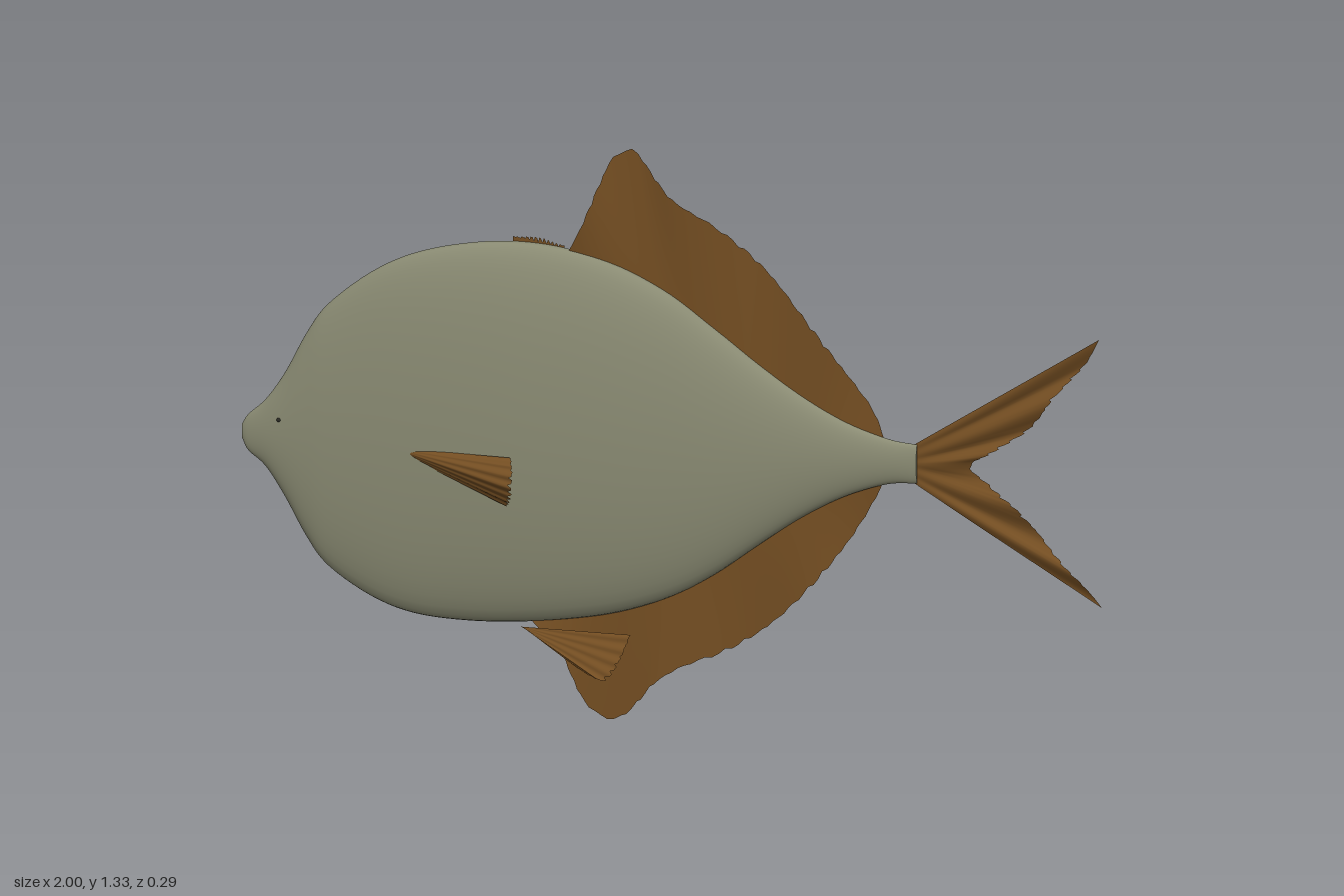
import * as THREE from 'three';

const skin = new THREE.MeshStandardMaterial({ color: 0x8a8b73 });
skin.name = 'olive grey skin';
const finBrown = new THREE.MeshStandardMaterial({ color: 0x744e22, side: THREE.DoubleSide });
finBrown.name = 'brown fin';
const eyeDark = new THREE.MeshStandardMaterial({ color: 0x2a2a24 });
eyeDark.name = 'dark eye';

function grid(points, index) {
  const g = new THREE.BufferGeometry();
  g.setAttribute('position', new THREE.Float32BufferAttribute(points, 3));
  g.setIndex(index);
  g.computeVertexNormals();
  return g;
}

function named(name, geometry, material) {
  const m = new THREE.Mesh(geometry, material);
  m.name = name;
  return m;
}

// Body stations: x, top, bottom, half width
const STATIONS = [
  [-1, 0.645, 0.61, 0.004], [-0.985, 0.668, 0.582, 0.01], [-0.945, 0.705, 0.548, 0.019],
  [-0.9, 0.77, 0.48, 0.027], [-0.85, 0.865, 0.39, 0.035], [-0.8, 0.935, 0.325, 0.042],
  [-0.7, 1.015, 0.26, 0.053], [-0.6, 1.065, 0.226, 0.062], [-0.48, 1.095, 0.216, 0.07],
  [-0.36, 1.106, 0.22, 0.074], [-0.24, 1.095, 0.233, 0.073], [-0.12, 1.06, 0.257, 0.069],
  [0, 1.0, 0.3, 0.062], [0.1, 0.928, 0.357, 0.055], [0.2, 0.852, 0.43, 0.046],
  [0.3, 0.785, 0.5, 0.036], [0.4, 0.73, 0.555, 0.026], [0.5, 0.696, 0.59, 0.017],
  [0.57, 0.686, 0.596, 0.011],
];

function bodyGeometry(rings = 90, sides = 48) {
  const spline = (f) => new THREE.CatmullRomCurve3(STATIONS.map(f), false, 'catmullrom', 0.5);
  const outline = spline(([x, t, b]) => new THREE.Vector3(x, t, b));
  const widths = spline(([x, , , w]) => new THREE.Vector3(x, w, 0));
  const pos = [], idx = [];
  for (let i = 0; i <= rings; i++) {
    const p = outline.getPoint(i / rings), w = widths.getPoint(i / rings).y;
    for (let j = 0; j < sides; j++) {
      const a = (j / sides) * Math.PI * 2;
      pos.push(p.x, (p.y + p.z) / 2 + Math.cos(a) * (p.y - p.z) / 2, Math.sin(a) * w);
      if (i === rings) continue;
      const k = i * sides + j, n = i * sides + (j + 1) % sides;
      idx.push(k, n, k + sides, n, n + sides, k + sides);
    }
  }
  // End caps, with their own rim so the tail end stays crisp
  for (const [ring, flip] of [[0, true], [rings, false]]) {
    const start = pos.length / 3;
    for (let j = 0; j < sides; j++) {
      const k = (ring * sides + j) * 3;
      pos.push(pos[k], pos[k + 1], pos[k + 2]);
    }
    for (let j = 1; j < sides - 1; j++) {
      if (flip) idx.push(start, start + j + 1, start + j);
      else idx.push(start, start + j, start + j + 1);
    }
  }
  return grid(pos, idx);
}

// Sheet of fin rays from a base line to a ragged edge line; ripple(u, v) shifts it in z
function finGeometry(base, edge, { cols = 72, rows = 8, teeth = 24, ragged = 0.012, ripple = () => 0 }) {
  const curve = (pts) => new THREE.CatmullRomCurve3(
    pts.map(([x, y, z = 0]) => new THREE.Vector3(x, y, z)), false, 'centripetal');
  const b = curve(base), e = curve(edge), pos = [], idx = [];
  for (let i = 0; i <= cols; i++) {
    const u = i / cols, from = b.getPointAt(u), to = e.getPointAt(u);
    const dir = to.clone().sub(from).normalize();
    const notch = ((u * teeth) % 1) * (0.6 + 0.4 * Math.sin(i * 1.7));
    to.addScaledVector(dir, -ragged * notch * Math.min(1, 8 * u, 8 * (1 - u)));
    for (let j = 0; j <= rows; j++) {
      const v = j / rows, p = from.clone().lerp(to, v);
      pos.push(p.x, p.y, p.z + ripple(u, v));
      if (i === cols || j === rows) continue;
      const k = i * (rows + 1) + j, n = k + rows + 1;
      idx.push(k, n, k + 1, n, n + 1, k + 1);
    }
  }
  return grid(pos, idx);
}

export function createModel() {
  const model = new THREE.Group();
  model.name = 'fish';
  model.add(named('body', bodyGeometry(), skin));

  const wave = (u, v) => v * (0.009 * Math.sin(u * 19) * (1 - 0.4 * u) + 0.005 * (1 - u));

  // Tall dorsal fin and matching anal fin, rooted inside the body
  model.add(named('dorsalFin', finGeometry(
    [[-0.25, 1.06], [-0.1, 1.02], [0, 0.96], [0.2, 0.81], [0.4, 0.69], [0.49, 0.66]],
    [[-0.24, 1.09], [-0.21, 1.15], [-0.165, 1.26], [-0.135, 1.318], [-0.09, 1.335], [-0.06, 1.3],
      [0, 1.228], [0.1, 1.17], [0.2, 1.09], [0.3, 0.98], [0.4, 0.85], [0.47, 0.755], [0.495, 0.69]],
    { ripple: wave }), finBrown));
  model.add(named('analFin', finGeometry(
    [[-0.33, 0.25], [-0.1, 0.29], [0, 0.34], [0.2, 0.47], [0.4, 0.59], [0.49, 0.62]],
    [[-0.335, 0.235], [-0.3, 0.2], [-0.25, 0.14], [-0.215, 0.06], [-0.185, 0.02], [-0.135, 0.002],
      [-0.09, 0.035], [-0.04, 0.095], [0.02, 0.135], [0.12, 0.175], [0.22, 0.24], [0.32, 0.335],
      [0.41, 0.45], [0.46, 0.53], [0.495, 0.6]],
    { ripple: wave }), finBrown));

  // Low row of spines ahead of the dorsal fin
  model.add(named('dorsalSpines', finGeometry(
    [[-0.37, 1.09], [-0.31, 1.09], [-0.25, 1.075]],
    [[-0.37, 1.117], [-0.31, 1.118], [-0.25, 1.102]],
    { cols: 48, rows: 1, teeth: 12, ragged: 0.014 }), finBrown));

  // Forked tail: rays fan from the stalk to the trailing edge
  model.add(named('tailFin', finGeometry(
    [[0.56, 0.684], [0.56, 0.64], [0.56, 0.598]],
    [[0.995, 0.957], [0.965, 0.9], [0.9, 0.825], [0.83, 0.735], [0.75, 0.68], [0.695, 0.642],
      [0.75, 0.592], [0.81, 0.545], [0.88, 0.46], [0.95, 0.39], [0.998, 0.328]],
    { cols: 96, rows: 10, teeth: 30, ragged: 0.018,
      ripple: (u, v) => 0.009 * v * Math.sin(u * 28 + v * 2) }), finBrown));

  // Paired fins and eyes
  for (const [side, s] of [['right', 1], ['left', -1]]) {
    const mirror = (pts) => pts.map(([x, y, z]) => [x, y, z * s]);
    const pleats = (n, d) => (u, v) => s * d * v * Math.sin(u * n);
    model.add(named(side + 'PectoralFin', finGeometry(
      mirror([[-0.595, 0.622, 0.058], [-0.595, 0.612, 0.062], [-0.595, 0.602, 0.058]]),
      mirror([[-0.355, 0.622, 0.085], [-0.342, 0.608, 0.122], [-0.34, 0.565, 0.14],
        [-0.348, 0.53, 0.115], [-0.365, 0.507, 0.08]]),
      { cols: 40, teeth: 10, ragged: 0.015, ripple: pleats(40, 0.003) }), finBrown));
    model.add(named(side + 'PelvicFin', finGeometry(
      mirror([[-0.335, 0.226, 0.069], [-0.33, 0.224, 0.07], [-0.325, 0.222, 0.071]]),
      mirror([[-0.08, 0.222, 0.071], [-0.095, 0.175, 0.09], [-0.13, 0.122, 0.111],
        [-0.175, 0.135, 0.106], [-0.2, 0.148, 0.1]]),
      { cols: 40, teeth: 10, ragged: 0.012, ripple: pleats(40, 0.002) }), finBrown));
    const eye = named(side + 'Eye', new THREE.SphereGeometry(0.005, 12, 8), eyeDark);
    eye.position.set(-0.91, 0.663, s * 0.0235);
    model.add(eye);
  }
  return model;
}
